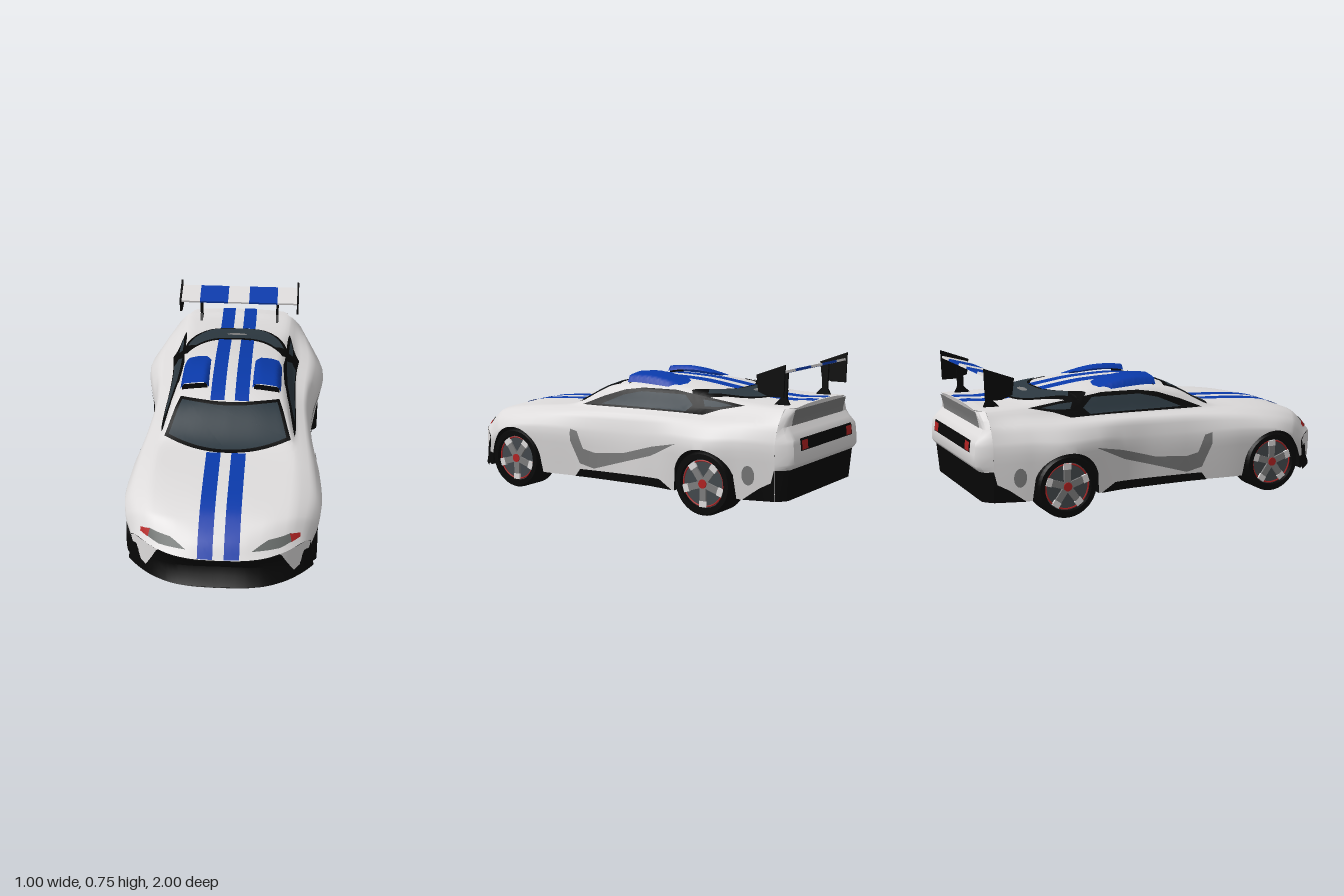
import * as THREE from 'three';
import { mergeVertices, toCreasedNormals } from 'three/addons/utils/BufferGeometryUtils.js';

const paint = (name, color) => {
  const m = new THREE.MeshStandardMaterial({ color, side: THREE.DoubleSide });
  m.name = name;
  return m;
};
const WHITE = paint('body white', 0xdddbdb), BLUE = paint('stripe blue', 0x0a3aaa), BLACK = paint('trim black', 0x070707),
  GLASS = paint('window glass', 0x2c3840), GRAY = paint('vent gray', 0x7d7d7d), RED = paint('accent red', 0xb02222),
  RIM = paint('rim dark gray', 0x43484c), LAMP = paint('lamp gray', 0x666a68);

// Body control lines, front to rear: [z, x, y]
const SILL = [[1, .41, .16], [.85, .435, .15], [.75, .45, .11], [.6, .46, .1], [.42, .455, .1], [.1, .425, .1], [-.2, .42, .1],
  [-.38, .44, .1], [-.57, .47, .1], [-.76, .43, .1], [-.92, .385, .1]];
const FLANK = [[1, .445, .25], [.85, .484, .29], [.6, .497, .33], [.4, .484, .34], [.1, .443, .33], [-.1, .43, .33],
  [-.25, .443, .34], [-.4, .48, .36], [-.57, .507, .36], [-.75, .46, .37], [-.92, .402, .36]];
const SHOULDER = [[1, .4, .278], [.85, .43, .35], [.6, .45, .39], [.4, .44, .42], [.1, .415, .44], [-.1, .405, .445],
  [-.3, .415, .453], [-.57, .435, .455], [-.75, .41, .46], [-.92, .37, .455]];
const BELT = [[1, .33, .274], [.85, .35, .385], [.6, .36, .43], [.35, .352, .452], [.1, .34, .463], [-.3, .33, .468],
  [-.57, .34, .48], [-.75, .34, .495], [-.92, .335, .5]];
const EDGE = [[1, .22, .269], [.85, .24, .39], [.6, .27, .433], [.42, .315, .448], [.32, .322, .46], [.1, .295, .562],
  [-.05, .282, .582], [-.3, .27, .583], [-.5, .272, .565], [-.72, .285, .537], [-.92, .3, .533]];
const CROWN = [[1, 0, .265], [.95, 0, .325], [.87, 0, .375], [.8, 0, .406], [.7, 0, .426], [.55, 0, .439], [.37, 0, .45], [.1, 0, .581],
  [0, 0, .602], [-.12, 0, .612], [-.3, 0, .606], [-.5, 0, .582], [-.72, 0, .546], [-.85, 0, .54], [-.92, 0, .547]];
const TAIL = [[.56, -.968], [.53, -.962], [.45, -.945], [.39, -.992], [.28, -1], [.25, -.975]]; // [y, z]
const REAR = -.92, AXLES = [.604, -.567], ARCH = .172;

// Monotone cubic value of column k of a key list (first column descending)
function at(keys, t, k) {
  const n = keys.length - 1;
  t = Math.min(keys[0][0], Math.max(keys[n][0], t));
  let i = 0;
  while (i < n - 1 && t < keys[i + 1][0]) i++;
  const sec = j => (keys[j + 1][k] - keys[j][k]) / (keys[j + 1][0] - keys[j][0]);
  const tan = j => {
    if (j === 0) return sec(0);
    if (j === n) return sec(n - 1);
    const a = sec(j - 1), b = sec(j);
    return a * b <= 0 ? 0 : 2 * a * b / (a + b);
  };
  const h = keys[i + 1][0] - keys[i][0], s = (t - keys[i][0]) / h, s2 = s * s, s3 = s2 * s;
  return keys[i][k] * (2 * s3 - 3 * s2 + 1) + keys[i + 1][k] * (3 * s2 - 2 * s3) + h * (tan(i) * (s3 - 2 * s2 + s) + tan(i + 1) * (s3 - s2));
}
const lerp = THREE.MathUtils.lerp;

// Half cross-section, sill to centre line, with lightly rounded corners
function section(z) {
  let p = [SILL, FLANK, SHOULDER, BELT, EDGE].map(c => [at(c, z, 1), at(c, z, 2)]);
  const top = at(CROWN, z, 2);
  p.push([p[4][0] * .5, lerp(top, p[4][1], .15)], [0, top]);
  for (let pass = 0; pass < 2; pass++) {
    const q = [p[0]];
    for (let i = 0; i < p.length - 1; i++)
      for (const f of [.17, .83]) q.push([lerp(p[i][0], p[i + 1][0], f), lerp(p[i][1], p[i + 1][1], f)]);
    q.push(p[p.length - 1]);
    p = q;
  }
  return p;
}
function sideX(y, z) {
  const p = section(z);
  if (y <= p[0][1]) return p[0][0];
  for (let i = 0; i < p.length - 1; i++)
    if (y <= p[i + 1][1]) return lerp(p[i][0], p[i + 1][0], (y - p[i][1]) / (p[i + 1][1] - p[i][1] || 1));
  return 0;
}
function topY(x, z) {
  const p = section(z);
  for (let i = p.length - 1; i > 0; i--)
    if (x <= p[i - 1][0]) return lerp(p[i][1], p[i - 1][1], (x - p[i][0]) / (p[i - 1][0] - p[i][0] || 1));
  return at(FLANK, z, 2);
}
// Sweeps the nose back toward its corners
const bow = (x, z) => z - .2 * (Math.abs(x) / .44) ** 3 * Math.max(0, (z - .55) / .45) ** 1.5;
function archY(z) {
  const w = bow(at(FLANK, z, 1) * .97, z);
  for (const c of AXLES) if (Math.abs(w - c) < ARCH) return .157 + Math.sqrt(ARCH ** 2 - (w - c) ** 2);
  return 0;
}

// Projections for surface details
const onTop = d => (x, z) => [x, topY(Math.abs(x), z) + d, bow(x, z)];
const onSide = d => (z, y) => [sideX(y, z) + d, y, z];
const onTail = d => (x, y) => [x, y, at(TAIL, y, 1) - d];
const onNose = d => (x, y) => {
  let a = .6, b = 1;
  for (let i = 0; i < 24; i++) { const m = (a + b) / 2; if (topY(x, m) > y) a = m; else b = m; }
  return [x, y + d * .5, bow(x, a) + d];
};

function add(parent, name, geometry, material, x = 0, y = 0, z = 0) {
  const m = new THREE.Mesh(geometry, material);
  m.name = name;
  m.position.set(x, y, z);
  parent.add(m);
  return m;
}
function loft(parent, name, rows, material) {
  const n = rows[0].length, index = [];
  for (let i = 0; i < rows.length - 1; i++)
    for (let j = 0; j < n - 1; j++) {
      const a = i * n + j, c = a + n;
      index.push(a, c, a + 1, a + 1, c, c + 1);
    }
  const g = new THREE.BufferGeometry();
  g.setAttribute('position', new THREE.Float32BufferAttribute(rows.flat(2), 3));
  g.setIndex(index);
  add(parent, name, toCreasedNormals(g, .6), material);
}
// Flat outline, finely divided and laid onto a surface
function patch(parent, name, outline, material, project, side = 1) {
  const pts = outline.map(p => new THREE.Vector2(...p)), out = [];
  const split = (a, b, c) => {
    const ab = a.distanceTo(b), bc = b.distanceTo(c), ca = c.distanceTo(a), longest = Math.max(ab, bc, ca);
    if (longest < .03) {
      for (const p of [a, b, c]) { const q = project(p.x, p.y); out.push(q[0] * side, q[1], q[2]); }
      return;
    }
    const [p, q, r] = longest === ab ? [a, b, c] : longest === bc ? [b, c, a] : [c, a, b];
    const half = p.clone().add(q).multiplyScalar(.5);
    split(p, half, r);
    split(half, q, r);
  };
  for (const [a, b, c] of THREE.ShapeUtils.triangulateShape(pts, [])) split(pts[a], pts[b], pts[c]);
  let g = new THREE.BufferGeometry();
  g.setAttribute('position', new THREE.Float32BufferAttribute(out, 3));
  g = mergeVertices(g, 1e-5);
  g.computeVertexNormals();
  add(parent, name, g, material);
}
const rect = (x0, x1, y0, y1) => [[x0, y0], [x1, y0], [x1, y1], [x0, y1]];
const arc = (half, zEnd, zMid, pow = 2) => Array.from({ length: 17 }, (_, i) => {
  const u = i / 8 - 1;
  return [u * half, zMid + (zEnd - zMid) * Math.abs(u) ** pow];
});
const ellipse = (cx, cy, rx, ry) => Array.from({ length: 16 }, (_, i) => [cx + rx * Math.cos(i * Math.PI / 8), cy + ry * Math.sin(i * Math.PI / 8)]);
// Upright plate from a side outline of [distance behind centre, y]
const plate = (outline, depth) => new THREE.ExtrudeGeometry(new THREE.Shape(outline.map(p => new THREE.Vector2(...p))),
  { depth, bevelEnabled: false }).rotateY(Math.PI / 2);

function wheel(side, z) {
  const g = new THREE.Group();
  g.name = 'wheel';
  const profile = [[.1, -.085], [.145, -.085], [.157, -.07], [.157, .07], [.147, .085], [.122, .085], [.118, .05]];
  add(g, 'tire', toCreasedNormals(new THREE.LatheGeometry(profile.map(p => new THREE.Vector2(...p)), 40), .6), BLACK);
  add(g, 'rim', new THREE.CylinderGeometry(.119, .119, .13, 36), RIM);
  add(g, 'rimRing', new THREE.TorusGeometry(.112, .004, 6, 36).rotateX(Math.PI / 2), RED, 0, .067);
  add(g, 'hub', new THREE.CylinderGeometry(.022, .024, .16, 16), RED);
  for (let i = 0; i < 5; i++) {
    const arm = new THREE.Group();
    arm.name = 'spoke';
    arm.rotation.y = i * Math.PI * .4 + Math.PI / 2;
    add(arm, 'spokeArm', new THREE.BoxGeometry(.034, .15, .07), GRAY, 0, 0, .05);
    add(arm, 'spokeTip', new THREE.BoxGeometry(.04, .152, .03), WHITE, 0, 0, .1);
    g.add(arm);
  }
  g.rotation.z = -side * Math.PI / 2;
  g.position.set(side * .386, .157, z);
  return g;
}

export function createModel() {
  const car = new THREE.Group();
  car.name = 'sportsCar';

  // Body shell with arch cut-outs, and the black underside with wheel wells
  const shell = [], under = [];
  for (let i = 0; i <= 160; i++) {
    const z = lerp(1, REAR, i / 160), p = section(z), arch = archY(z), low = Math.max(arch, p[0][1]), xLow = sideX(low, z);
    const half = p.map(([x, y]) => y < low ? [xLow, low] : [x, y]);
    const ring = [...half, ...half.slice(0, -1).reverse().map(([x, y]) => [-x, y])];
    shell.push(ring.map(([x, y]) => [x, y, bow(x, z)]));
    const xin = arch ? .3 : xLow;
    under.push([[xLow, low], [xin, low], [xin, .1], [-xin, .1], [-xin, low], [-xLow, low]].map(([x, y]) => [x, y, bow(xLow, z)]));
  }
  loft(car, 'bodyShell', shell, WHITE);
  loft(car, 'underbody', under, BLACK);

  // Front bumper, recessed in the middle and flared at its lip
  loft(car, 'frontGrille', [0, .08, .25, .5, .75, 1].map(s => shell[0].map(([x, y, z]) =>
    [x * lerp(1, 1.04, s), lerp(y - .006, .095, s), z - .06 * Math.sin(Math.PI * s) * Math.max(0, 1 - (x / .4) ** 2)])), BLACK);
  loft(car, 'frontFloor', [1, .8].map(limit => shell[0].map(([x, , z]) => [x, .097, Math.min(z, limit)])), BLACK);

  // Tail panel and rear bumper
  const cols = Array.from({ length: 33 }, (_, i) => i / 16 - 1);
  const tailRow = (y, z) => cols.map(u => {
    const x = u * sideX(Math.min(y, .53), REAR), f = Math.min(1, (1 - Math.abs(u)) / .14);
    return [x, Math.min(y, topY(Math.abs(x), REAR)), lerp(REAR, z, f * (2 - f))];
  });
  loft(car, 'tailPanel', [...[.25, .265, .28, .33, .37, .39, .42, .45, .49, .53, .56].map(y => tailRow(y, at(TAIL, y, 1))), tailRow(.56, REAR)], WHITE);
  loft(car, 'rearBumper', [tailRow(.1, REAR), tailRow(.1, -.965), tailRow(.25, -.977), tailRow(.252, -.95)], BLACK);
  patch(car, 'tailLipPanel', rect(-.28, .28, .45, .527), GRAY, onTail(.004));
  patch(car, 'tailLightSlot', rect(-.285, .285, .335, .395), BLACK, onTail(.004));

  // Windscreen and rear window
  patch(car, 'windscreenFrame', [...arc(.325, .28, .385), ...arc(.258, .06, .11).reverse()], BLACK, onTop(.004));
  patch(car, 'windscreen', [...arc(.302, .275, .365), ...arc(.248, .09, .135).reverse()], GLASS, onTop(.008));
  patch(car, 'rearWindowFrame', [...arc(.31, -.42, -.725, 4), ...arc(.262, -.38, -.545, 3).reverse()], BLACK, onTop(.004));
  patch(car, 'rearWindow', [...arc(.27, -.48, -.715, 4), ...arc(.225, -.46, -.562, 3).reverse()], GLASS, onTop(.008));
  patch(car, 'rearWindowLamp', ellipse(0, -.62, .058, .016), GRAY, onTop(.011));

  for (const s of [1, -1]) {
    // Stripes
    for (const [a, b] of [[.385, 1], [-.545, .1], [-.968, -.725]])
      patch(car, 'stripe', rect(.027, .1, a, b), BLUE, onTop(.004), s);
    // Side windows
    patch(car, 'sideWindowFrame', [[.24, .465], [.12, .515], [0, .555], [-.1, .57], [-.3, .572], [-.5, .55], [-.7, .528], [-.58, .502], [-.5, .474]],
      BLACK, onSide(.004), s);
    patch(car, 'sideWindow', [[.12, .477], [0, .53], [-.1, .553], [-.36, .555], [-.42, .51], [-.39, .48]], GLASS, onSide(.008), s);
    patch(car, 'quarterWindow', [[-.49, .51], [-.47, .54], [-.54, .537], [-.64, .525], [-.57, .513]], GLASS, onSide(.008), s);
    // Side vents, skirts and bumper corners
    patch(car, 'sideVent', [[.24, .35], [.24, .29], [.19, .17], [.107, .15], [-.25, .257], [-.42, .34], [-.26, .305], [-.075, .25], [.1, .235], [.165, .25], [.2, .34]],
      GRAY, onSide(.004), s);
    patch(car, 'rearSideVent', ellipse(-.8, .22, .03, .048), GRAY, onSide(.004), s);
    patch(car, 'sideSkirt', [[.22, .1], [.19, .14], [-.3, .145], [-.38, .1]], BLACK, onSide(.006), s);
    patch(car, 'rearCorner', [[-.77, .1], [-.85, .16], [-.905, .19], [-.92, .25], [-.92, .1]], BLACK, onSide(.005), s);
    patch(car, 'bumperCorner', [[.29, .276], [.36, .28], [.415, .275], [.438, .25], [.425, .2], [.41, .16], [.36, .138], [.325, .21], [.3, .265]],
      WHITE, (x, y) => [x, y, bow(x, 1) + .005], s);
    // Lights
    patch(car, 'headlight', [[.157, .298], [.2, .318], [.235, .331], [.34, .335], [.355, .32], [.345, .302], [.29, .294]], LAMP, onNose(.004), s);
    patch(car, 'turnSignal', [[.335, .335], [.385, .32], [.385, .304], [.345, .301]], RED, onNose(.007), s);
    patch(car, 'tailLight', rect(.215, .275, .34, .385), RED, onTail(.007), s);

    // Roof scoops with dark intakes
    patch(car, 'roofScoop', [[.115, .01], [.265, .01], [.265, -.24], [.245, -.3], [.2, -.315], [.15, -.305], [.12, -.25]], BLUE, (x, z) => {
      const u = (x - .19) / .077, w = Math.min(1, (z + .32) / .24);
      return [x, topY(x, z) + .004 + .036 * Math.max(0, 1 - u ** 8) * Math.sin(Math.PI / 2 * w), z];
    }, s);
    patch(car, 'scoopIntake', rect(.122, .258, 0, 1), BLACK, (x, v) => [x, topY(x, 0) + .032 * v - .002, .004], s);

    // Wing supports
    add(car, 'wingEndPlate', plate([[.79, .69], [.94, .745], [.935, .59], [.855, .59], [.8, .61]], .01), BLACK, s * .34 - .005);
    add(car, 'wingStrut', plate([[.82, .53], [.91, .53], [.89, .57], [.895, .7], [.86, .69], [.86, .57]], .014), BLACK, s * .222 - .007);
    for (const z of AXLES) car.add(wheel(s, z));
  }

  // Wing blade in coloured segments
  const cuts = [-.336, -.228, -.064, .058, .222, .336];
  for (let i = 0; i < 5; i++)
    add(car, 'wingBlade', new THREE.BoxGeometry(cuts[i + 1] - cuts[i], .012, .135), i % 2 ? BLUE : WHITE, (cuts[i] + cuts[i + 1]) / 2, .692, -.868).rotation.x = .27;
  return car;
}
